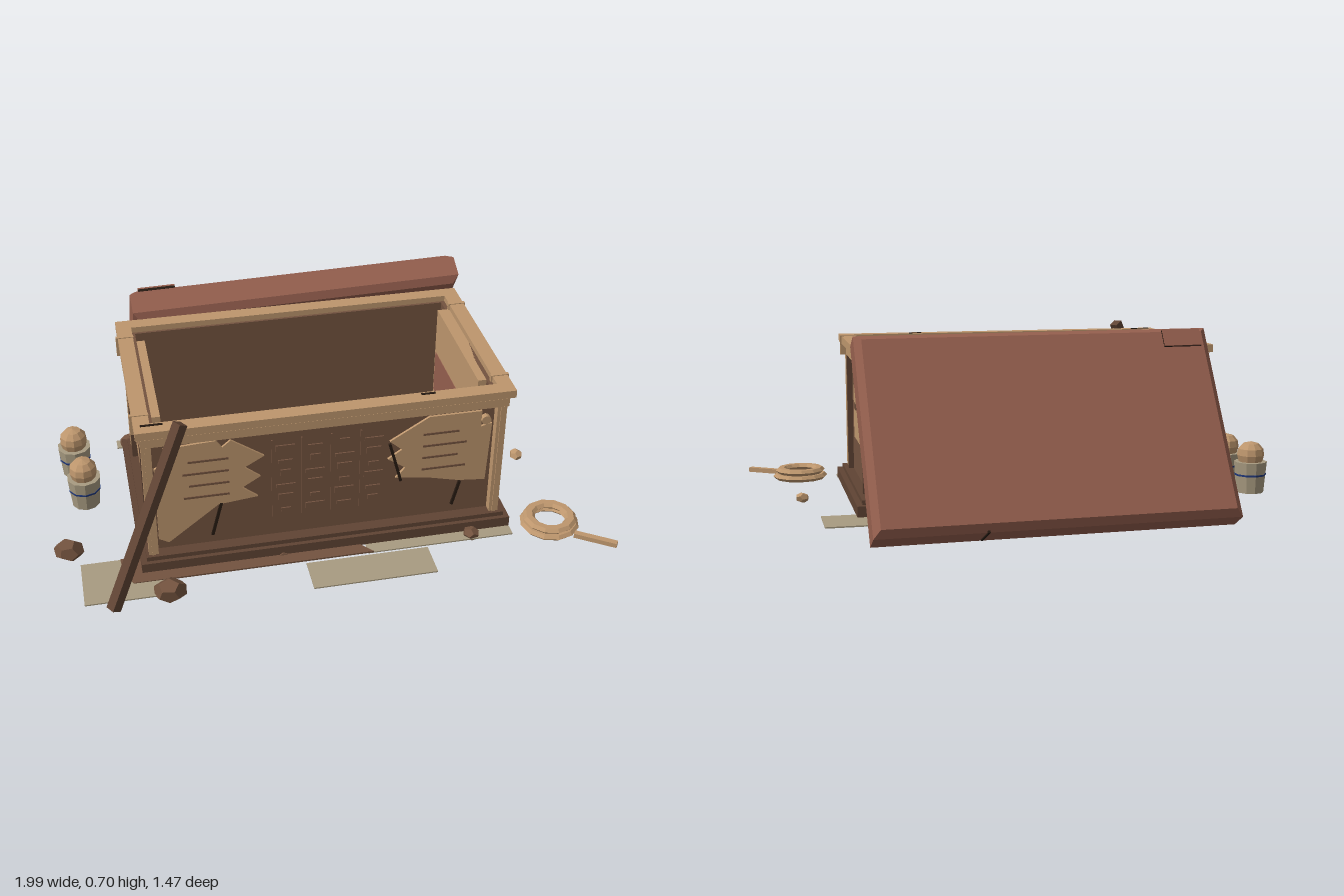
import * as THREE from 'three';

const mat = (name, color) => {
  const m = new THREE.MeshStandardMaterial({ color });
  m.name = name;
  return m;
};

export function createModel() {
  const root = new THREE.Group();
  const tan = mat('pale wood', 0xbd966d), brown = mat('brown wood', 0x73533f), dark = mat('dark wood', 0x604434),
    red = mat('red lid', 0x955f4e), beige = mat('dusty stone', 0xa89b81), gold = mat('gold', 0xb28d33),
    blue = mat('blue', 0x20387a), ink = mat('black brown', 0x261a12);

  const flat = (g) => {
    const f = g.index ? g.toNonIndexed() : g;
    f.computeVertexNormals();
    return f;
  };
  const add = (parent, name, geo, m, x = 0, y = 0, z = 0) => {
    const mesh = new THREE.Mesh(geo, m);
    mesh.name = name;
    mesh.position.set(x, y, z);
    parent.add(mesh);
    return mesh;
  };
  const group = (name, parent = root) => {
    const g = new THREE.Group();
    g.name = name;
    parent.add(g);
    return g;
  };
  // Box given by its limits on each axis
  const box = (parent, name, m, x0, x1, y0, y1, z0, z1) =>
    add(parent, name, new THREE.BoxGeometry(x1 - x0, y1 - y0, z1 - z0), m, (x0 + x1) / 2, (y0 + y1) / 2, (z0 + z1) / 2);
  // Hollow rectangular frame
  const frame = (parent, name, m, x0, x1, y0, y1, z0, z1, tx, tz) => {
    box(parent, name + 'Front', m, x0, x1, y0, y1, z1 - tz, z1);
    box(parent, name + 'Back', m, x0, x1, y0, y1, z0, z0 + tz);
    box(parent, name + 'Right', m, x0, x0 + tx, y0, y1, z0 + tz, z1 - tz);
    box(parent, name + 'Left', m, x1 - tx, x1, y0, y1, z0 + tz, z1 - tz);
  };
  // Straight bar between two points, in the parent's own space
  const up = new THREE.Vector3(0, 1, 0);
  const bar = (parent, name, m, a, b, w, h = w) => {
    const p = new THREE.Vector3(...a), q = new THREE.Vector3(...b);
    const mesh = add(parent, name, new THREE.BoxGeometry(w, h, p.distanceTo(q)), m);
    mesh.position.copy(p).add(q).multiplyScalar(0.5);
    mesh.quaternion.setFromRotationMatrix(new THREE.Matrix4().lookAt(q, p, up));
  };

  // Chest: plinth, walls, mouldings and rim
  const chest = group('chest');
  box(chest, 'plinth', dark, -0.705, 0.64, 0.035, 0.075, -0.25, 0.53);
  box(chest, 'plinthStep', dark, -0.685, 0.62, 0.075, 0.092, -0.225, 0.515);
  box(chest, 'floor', brown, -0.64, 0.57, 0.09, 0.11, -0.18, 0.465);
  frame(chest, 'wall', brown, -0.655, 0.585, 0.09, 0.6, -0.185, 0.471, 0.03, 0.02);
  frame(chest, 'moulding', tan, -0.678, 0.608, 0.55, 0.582, -0.21, 0.505, 0.04, 0.04);
  frame(chest, 'shadowGroove', brown, -0.665, 0.595, 0.582, 0.593, -0.2, 0.49, 0.03, 0.02);
  frame(chest, 'rim', tan, -0.692, 0.625, 0.593, 0.622, -0.23, 0.52, 0.055, 0.055);
  for (const x of [-0.64, 0.525]) {
    box(chest, 'endLining', tan, x, x + 0.045, 0.11, 0.6, -0.11, 0.4);
    box(chest, 'liningStain', red, x - 0.002, x + 0.047, 0.25, 0.42, -0.1, 0.2);
  }

  // Corner posts
  for (const x of [-0.675, 0.568]) for (const z of [-0.21, 0.468]) {
    box(chest, 'cornerPost', tan, x, x + 0.034, 0.09, 0.55, z, z + 0.034);
    box(chest, 'postRib', tan, x + 0.011, x + 0.023, 0.09, 0.55, z - 0.004, z + 0.038);
  }
  // Straps that wrap over each end, and end panels with eye slots
  for (const [x, s] of [[-0.655, -1], [0.585, 1]]) {
    const out = (name, m, d0, d1, ...r) => box(chest, name, m, Math.min(x + s * d0, x + s * d1), Math.max(x + s * d0, x + s * d1), ...r);
    for (const z of [-0.11, 0.41]) {
      out('strap', dark, 0, 0.02, 0.09, 0.55, z - 0.01, z + 0.01);
      out('strapOverRim', tan, -0.02, 0.045, 0.55, 0.625, z - 0.007, z + 0.007);
    }
    out('endPanel', tan, 0, 0.008, 0.24, 0.445, 0.01, 0.28);
    for (const z of [0.04, 0.18]) out('eyeSlot', brown, 0.006, 0.012, 0.357, 0.379, z, z + 0.07);
  }
  for (const [a, b] of [[-0.67, -0.595], [0.295, 0.345]]) box(chest, 'rimChip', ink, a, b, 0.62, 0.625, 0.474, 0.482);

  // Broken pale facing and carved signs on the long sides
  const outlines = [
    [[-0.6, 0.12], [-0.42, 0.26], [-0.28, 0.275], [-0.335, 0.32], [-0.27, 0.36], [-0.325, 0.405], [-0.255, 0.445],
      [-0.37, 0.525], [-0.4, 0.5], [-0.42, 0.53], [-0.6, 0.52], [-0.57, 0.47], [-0.635, 0.44], [-0.635, 0.14]],
    [[0.55, 0.225], [0.56, 0.47], [0.52, 0.46], [0.52, 0.525], [0.33, 0.525], [0.19, 0.44], [0.235, 0.4],
      [0.185, 0.365], [0.25, 0.32], [0.215, 0.28], [0.33, 0.265], [0.45, 0.235]],
  ];
  for (const turn of [0, Math.PI]) {
    const side = group(turn ? 'backFacing' : 'frontFacing', chest);
    side.position.set(-0.035, 0, 0.143);
    side.rotation.y = turn;
    const face = group('facing', side);
    face.position.set(0.035, 0, 0.328);
    for (const o of outlines) {
      const s = new THREE.Shape(o.map(([x, y]) => new THREE.Vector2(x, y)));
      add(face, 'palePlaster', new THREE.ExtrudeGeometry(s, { depth: 0.009, bevelEnabled: false }), tan);
    }
    [0.3, 0.35, 0.4, 0.45].forEach((y, i) => {
      box(face, 'groove', brown, -0.54 + 0.02 * (i % 2), -0.38, y, y + 0.008, 0.005, 0.012);
      box(face, 'groove', brown, 0.31, 0.47 - 0.03 * (i % 2), y, y + 0.008, 0.005, 0.012);
    });
    for (const [a, b] of [[[-0.41, 0.265], [-0.445, 0.13]], [[0.455, 0.23], [0.43, 0.13]], [[0.19, 0.43], [0.235, 0.265]]])
      bar(face, 'crack', ink, [...a, 0.008], [...b, 0.008], 0.008, 0.01);
    for (let c = 0; c < 4; c++) {
      const x = -0.19 + c * 0.105;
      box(face, 'carvedColumnLine', brown, x - 0.04, x - 0.035, 0.17, 0.5, 0, 0.005);
      for (let r = 0; r < 6; r++) {
        const w = 0.018 + 0.008 * ((c * 2 + r) % 3);
        box(face, 'carvedSign', brown, x - w + 0.01, x + w + 0.01, 0.19 + r * 0.052, 0.205 + r * 0.052 + 0.01 * ((r + c) % 2), 0, 0.005);
      }
    }
    const knob = add(face, 'knob', new THREE.CylinderGeometry(0.018, 0.018, 0.02, 8), tan, 0.535, 0.49, 0.01);
    knob.rotation.x = Math.PI / 2;
  }

  // Coffin lying in the chest, lofted along x
  const coffin = group('coffin');
  coffin.position.set(0, 0.2, 0.142);
  const loft = (name, m, pts, sides = 16) => {
    const g = flat(new THREE.LatheGeometry(pts.map(([x, r]) => new THREE.Vector2(r, x)), sides));
    g.rotateZ(-Math.PI / 2);
    g.scale(1, 0.62, 1);
    add(coffin, name, g, m);
  };
  const top = (z, r) => 0.62 * Math.sqrt(Math.max(0, r * r - z * z));
  loft('coffinBody', gold, [[-0.535, 0], [-0.535, 0.085], [-0.51, 0.1], [-0.44, 0.1], [-0.2, 0.125], [0.05, 0.145],
    [0.18, 0.155], [0.26, 0.14], [0.32, 0.105], [0.34, 0]]);
  for (const [x, r] of [[-0.48, 0.106], [-0.353, 0.115], [-0.225, 0.129], [-0.085, 0.14], [0.05, 0.151]])
    loft('blueBand', blue, [[x - 0.012, r - 0.015], [x - 0.012, r], [x + 0.012, r + 0.002], [x + 0.012, r - 0.015]]);
  loft('collar', blue, [[0.26, 0.12], [0.262, 0.145], [0.325, 0.125], [0.325, 0]]);
  loft('headdress', gold, [[0.32, 0], [0.32, 0.135], [0.42, 0.13], [0.448, 0.105], [0.455, 0]]);
  for (const s of [-1, 1]) {
    for (const z of [0.055, 0.075, 0.095, 0.115])
      box(coffin, 'headdressStripe', blue, 0.325, 0.44, top(z, 0.135) - 0.02, top(z, 0.135) + 0.006, s * z - 0.006, s * z + 0.006);
    box(coffin, 'lappet', blue, 0.25, 0.33, 0.06, 0.093, s * 0.06 - 0.022, s * 0.06 + 0.022);
    box(coffin, 'eye', ink, 0.39, 0.402, 0.105, 0.116, s * 0.02 - 0.009, s * 0.02 + 0.009);
    bar(coffin, 'arm', gold, [0.24, 0.08, s * 0.11], [0.12, 0.1, -s * 0.03], 0.035, 0.03);
    bar(coffin, 'sceptre', ink, [0.06, 0.098, s * 0.08], [0.25, 0.118, -s * 0.07], 0.01);
    add(coffin, 'hand', flat(new THREE.IcosahedronGeometry(0.022)), gold, 0.14, 0.105, s * 0.035);
  }
  box(coffin, 'mouth', ink, 0.348, 0.355, 0.1, 0.113, -0.014, 0.014);
  box(coffin, 'pectoral', blue, 0.16, 0.19, 0.09, 0.116, -0.015, 0.015);
  const face = add(coffin, 'face', flat(new THREE.SphereGeometry(0.05, 10, 8)), gold, 0.383, 0.077, 0);
  face.scale.set(1.1, 0.7, 0.9);
  box(coffin, 'nose', gold, 0.365, 0.385, 0.1, 0.122, -0.005, 0.005);
  box(coffin, 'beard', blue, 0.295, 0.335, 0.08, 0.11, -0.009, 0.009);

  // Lid with bevelled edges, leaning on the back of the chest
  const lid = group('lid');
  lid.position.set(0.009, 0.36, -0.485);
  lid.rotation.set(-1.017, 0.04, 0, 'YXZ');
  const L = 0.617, W = 0.34;
  const slab = new THREE.Shape([[-L, -W], [L, -W], [L, W], [-L, W]].map(([x, y]) => new THREE.Vector2(x, y)));
  const slabGeo = new THREE.ExtrudeGeometry(slab, { depth: 0.08, bevelSize: 0.024, bevelThickness: 0.024, bevelSegments: 1 });
  slabGeo.translate(0, 0, -0.04);
  slabGeo.rotateX(-Math.PI / 2);
  add(lid, 'lidSlab', slabGeo, red);
  box(lid, 'lidPatchEdge', ink, -0.605, -0.465, 0.06, 0.07, 0.28, 0.345);
  box(lid, 'lidPatch', red, -0.605, -0.465, 0.07, 0.076, 0.28, 0.345);
  bar(lid, 'lidCrack', ink, [0.26, 0.05, -0.364], [0.27, -0.03, -0.364], 0.008);

  // Pry beam leaning on the front corner
  bar(root, 'pryBeam', dark, [-0.82, 0.045, 0.705], [-0.54, 0.645, 0.52], 0.036);

  // Two jars with domed stoppers
  for (const [x, z] of [[-0.893, -0.13], [-0.87, 0.075]]) {
    const jar = group('jar');
    jar.position.set(x, 0.035, z);
    add(jar, 'jarBody', flat(new THREE.CylinderGeometry(0.063, 0.052, 0.12, 10)), beige, 0, 0.06, 0);
    add(jar, 'jarBand', flat(new THREE.CylinderGeometry(0.0605, 0.06, 0.007, 10)), blue, 0, 0.07, 0);
    const dome = [[0.045, 0.12], [0.052, 0.145], [0.048, 0.17], [0.03, 0.19], [0, 0.198]];
    add(jar, 'stopper', flat(new THREE.LatheGeometry(dome.map(([r, y]) => new THREE.Vector2(r, y)), 10)), tan);
  }

  // Rope coil with a loose end
  const rope = group('ropeCoil');
  for (const [r, y] of [[0.087, 0.043], [0.077, 0.066]]) {
    const ring = add(rope, 'ropeRing', flat(new THREE.TorusGeometry(r, 0.022, 6, 12)), tan, 0.79, y, 0.547);
    ring.rotation.x = Math.PI / 2;
    ring.scale.z = 0.6;
  }
  bar(rope, 'ropeEnd', tan, [0.855, 0.043, 0.635], [0.985, 0.043, 0.722], 0.022, 0.018);

  // Loose stones
  for (const [x, y, z, r, m] of [[-0.95, 0.05, 0.365, 0.055, brown], [-0.62, 0.045, 0.645, 0.06, brown], [-0.67, 0.05, -0.26, 0.045, brown],
    [0.49, 0.04, 0.55, 0.032, brown], [0.81, 0.04, 0.115, 0.026, tan], [-0.2, 0.035, 0.52, 0.02, brown]]) {
    const stone = add(root, 'stone', flat(new THREE.DodecahedronGeometry(r)), m, x, y, z);
    stone.rotation.set(0.4 * x, z * 7, 0.5 * z);
    stone.scale.y = 0.75;
  }

  // Flat slabs on the ground, pale above and earthy below
  const slabMats = [beige, beige, beige, dark, beige, beige];
  for (const [x0, x1, z0, z1] of [[-0.915, -0.6, 0.44, 0.655], [-0.13, 0.315, 0.59, 0.725], [0.1, 0.64, 0.525, 0.577],
    [0.3, 0.765, -0.375, -0.2], [-0.725, -0.45, -0.3, -0.25]])
    box(root, 'groundSlab', slabMats, x0, x1, 0.031, 0.036, z0, z1);
  const spill = new THREE.Shape([[-0.775, -0.44], [-0.77, -0.51], [-0.74, -0.577], [0.12, -0.577], [0.08, -0.53], [0.02, -0.5], [-0.6, -0.44]]
    .map(([x, y]) => new THREE.Vector2(x, y)));
  const spillGeo = new THREE.ExtrudeGeometry(spill, { depth: 0.006, bevelEnabled: false });
  add(root, 'spilledEarth', spillGeo.rotateX(-Math.PI / 2), brown, 0, 0.033, 0);

  return root;
}
